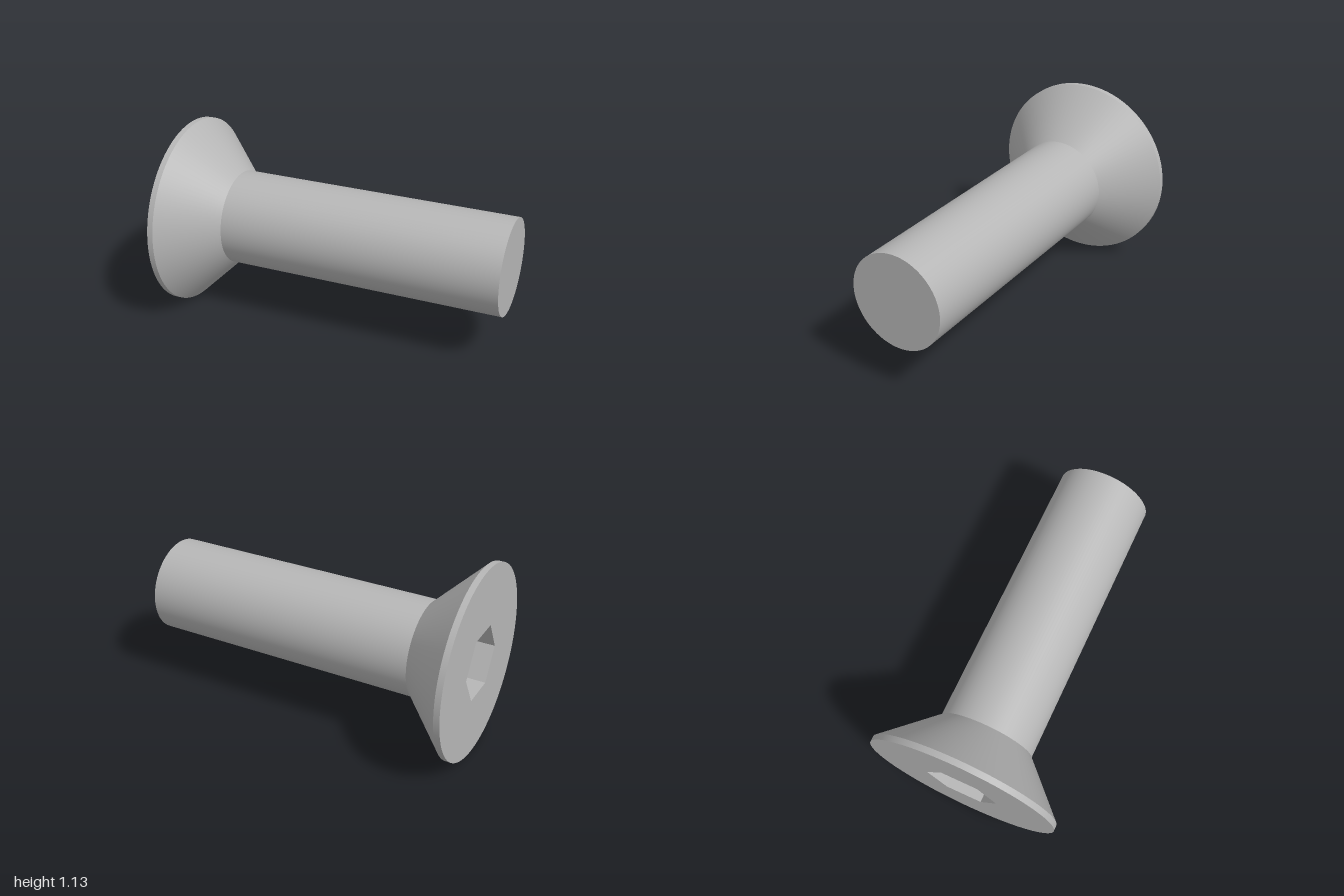
import * as THREE from 'three';

export function createModel() {
  const steel = new THREE.MeshStandardMaterial({ color: 0xb6b6b6 });
  steel.name = 'steel grey';

  const HEAD_R = 0.567, SHANK_R = 0.283, SOCKET_R = 0.215, SOCKET_DEPTH = 0.23;
  const HEAD = -1, RIM = -0.965, NECK = -0.68, TIP = 1;

  // Built along local y, then laid down so the axis runs along x
  const screw = new THREE.Group();
  screw.name = 'countersunkScrew';
  const add = (name, geometry, y) => {
    const mesh = new THREE.Mesh(geometry, steel);
    mesh.name = name;
    mesh.position.y = y;
    screw.add(mesh);
  };

  // Round side walls between two positions on the axis
  const band = (name, r0, r1, y0, y1) =>
    add(name, new THREE.CylinderGeometry(r1, r0, y1 - y0, 96, 1, true), (y0 + y1) / 2);
  band('headRim', HEAD_R, HEAD_R, HEAD, RIM);
  band('headCone', HEAD_R, SHANK_R, RIM, NECK);
  band('shank', SHANK_R, SHANK_R, NECK, TIP);

  // Flat end of the shank
  add('shankEnd', new THREE.CircleGeometry(SHANK_R, 96).rotateX(-Math.PI / 2), TIP);

  // Head face with a hexagonal hole
  const face = new THREE.Shape().absarc(0, 0, HEAD_R, 0, Math.PI * 2);
  const corners = Array.from({ length: 6 }, (_, i) => {
    const a = Math.PI / 2 - (i * Math.PI) / 3;
    return new THREE.Vector2(SOCKET_R * Math.cos(a), SOCKET_R * Math.sin(a));
  });
  face.holes.push(new THREE.Path(corners));
  add('headFace', new THREE.ShapeGeometry(face, 96).rotateX(Math.PI / 2), HEAD);

  // Socket walls, mirrored so they face inward, with flat normals
  const walls = new THREE.CylinderGeometry(SOCKET_R, SOCKET_R, SOCKET_DEPTH, 6, 1, true)
    .scale(-1, 1, 1).toNonIndexed();
  walls.computeVertexNormals();
  add('socketWalls', walls, HEAD + SOCKET_DEPTH / 2);

  // Socket floor
  const floor = new THREE.CircleGeometry(SOCKET_R, 6, Math.PI / 2).rotateX(Math.PI / 2);
  add('socketFloor', floor, HEAD + SOCKET_DEPTH);

  screw.rotation.z = -Math.PI / 2;
  screw.position.y = HEAD_R;
  const model = new THREE.Group();
  model.name = 'screwModel';
  model.add(screw);
  return model;
}
